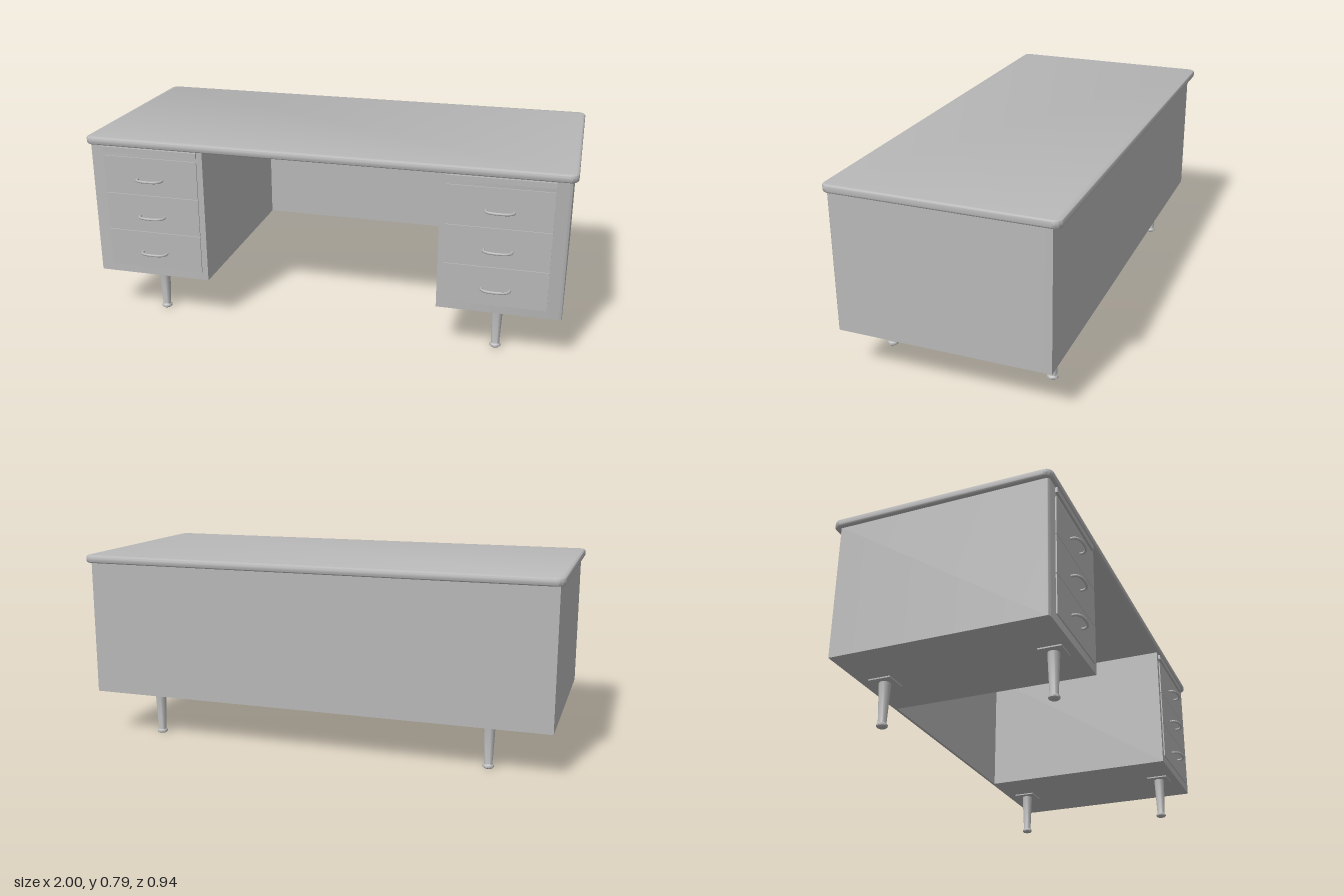
import * as THREE from 'three';
import { toCreasedNormals } from 'three/addons/utils/BufferGeometryUtils.js';

export function createModel() {
  const desk = new THREE.Group();
  desk.name = 'desk';
  const grey = new THREE.MeshStandardMaterial({ color: 0xb8b8b8 });
  grey.name = 'grey';

  const add = (parent, name, geometry, x = 0, y = 0, z = 0) => {
    const mesh = new THREE.Mesh(geometry, grey);
    mesh.name = name;
    mesh.position.set(x, y, z);
    parent.add(mesh);
    return mesh;
  };
  const box = (parent, name, w, h, d, x, y, z) =>
    add(parent, name, new THREE.BoxGeometry(w, h, d), x, y, z);

  // Extrude a plan outline (shape y = -z) upwards from y = 0
  const raise = (shape, options) => {
    const g = new THREE.ExtrudeGeometry(shape, { curveSegments: 8, ...options });
    g.rotateX(-Math.PI / 2);
    return toCreasedNormals(g, 0.7);
  };

  // Desk top: rounded corners and softened edges
  const bevel = 0.01, r = 0.022;
  const x1 = 1 - bevel, zf = -0.442 + bevel, zb = 0.472 - bevel;
  const plan = new THREE.Shape();
  plan.moveTo(-x1 + r, zf);
  plan.lineTo(x1 - r, zf);
  plan.absarc(x1 - r, zf + r, r, -Math.PI / 2, 0);
  plan.lineTo(x1, zb - r);
  plan.absarc(x1 - r, zb - r, r, 0, Math.PI / 2);
  plan.lineTo(-x1 + r, zb);
  plan.absarc(-x1 + r, zb - r, r, Math.PI / 2, Math.PI);
  plan.lineTo(-x1, zf + r);
  plan.absarc(-x1 + r, zf + r, r, Math.PI, Math.PI * 1.5);
  add(desk, 'deskTop', raise(plan, {
    depth: 0.033 - 2 * bevel, bevelEnabled: true,
    bevelThickness: bevel, bevelSize: bevel, bevelSegments: 4,
  }), 0, 0.757 + bevel, 0);

  // Body: two pedestals joined by a thin back panel, one U-shaped plan
  const ox = 0.982, ix = 0.487, front = -0.427, back = 0.44, c = 0.012;
  const body = new THREE.Shape();
  body.moveTo(-ox + c, front);
  body.lineTo(-ix, front);
  body.lineTo(-ix, back - 0.012);
  body.lineTo(ix, back - 0.012);
  body.lineTo(ix, front);
  body.lineTo(ox - c, front);
  body.absarc(ox - c, front + c, c, -Math.PI / 2, 0);
  body.lineTo(ox, back);
  body.lineTo(-ox, back);
  body.lineTo(-ox, front + c);
  body.absarc(-ox + c, front + c, c, Math.PI, Math.PI * 1.5);
  add(desk, 'body', raise(body, { depth: 0.57, bevelEnabled: false }), 0, 0.189, 0);

  // Curved drawer pull and turned leg, shared by all copies
  const pullPath = new THREE.CatmullRomCurve3([
    [-0.054, 0], [-0.054, 0.016], [-0.04, 0.03], [0, 0.036],
    [0.04, 0.03], [0.054, 0.016], [0.054, 0],
  ].map(([x, z]) => new THREE.Vector3(x, 0, z)));
  const pull = new THREE.TubeGeometry(pullPath, 28, 0.0055, 8);
  const leg = toCreasedNormals(new THREE.LatheGeometry([
    [0, 0], [0.018, 0], [0.022, 0.004], [0.022, 0.011], [0.018, 0.015],
    [0.0165, 0.017], [0.024, 0.185],
  ].map(([x, y]) => new THREE.Vector2(x, y)), 24), 0.7);

  for (const side of [-1, 1]) {
    const name = side > 0 ? 'left' : 'right';
    const pedestal = new THREE.Group();
    pedestal.name = name + 'PedestalFittings';
    desk.add(pedestal);

    // Pull-out writing board above the drawers
    box(pedestal, 'writingBoard', 0.412, 0.022, 0.02, side * 0.717, 0.742, 0.427);

    // Three drawers with narrow gaps between them
    [0.305, 0.469, 0.633].forEach((y, i) => {
      box(pedestal, 'drawerFront', 0.41, 0.161, 0.014, side * 0.717, y, 0.425);
      add(pedestal, 'drawerPull', pull, side * 0.72, [0.295, 0.459, 0.622][i], 0.43);
    });

    // Legs on square mounting plates
    for (const z of [0.344, -0.35]) {
      box(pedestal, 'legPlate', 0.094, 0.006, 0.094, side * 0.725, 0.1865, z);
      add(pedestal, 'leg', leg, side * 0.725, 0, z);
    }
  }
  return desk;
}
